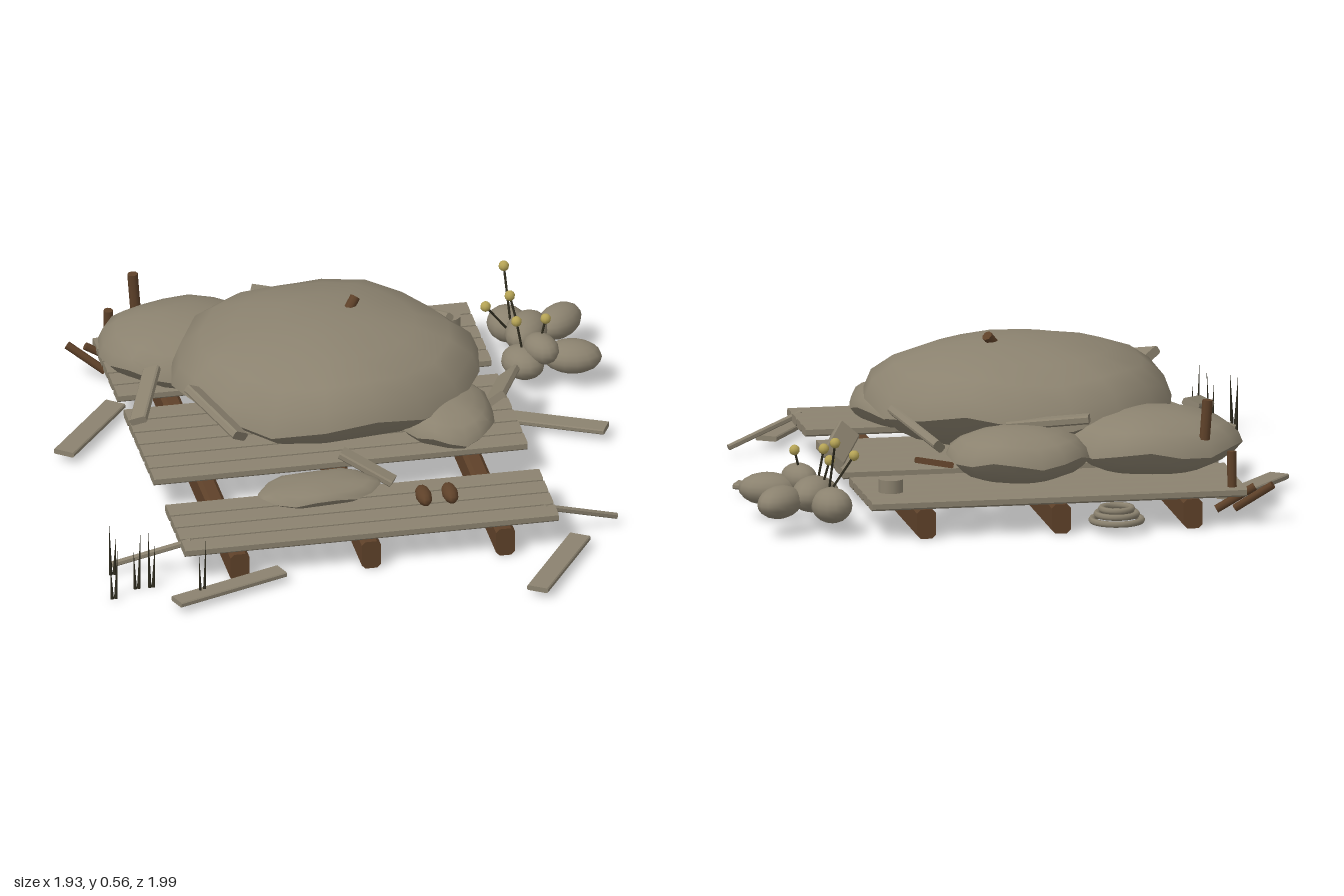
import * as THREE from 'three';
import { toCreasedNormals } from 'three/addons/utils/BufferGeometryUtils.js';

const material = (name, color) => {
  const m = new THREE.MeshStandardMaterial({ color });
  m.name = name;
  return m;
};

export function createModel() {
  const group = new THREE.Group();
  const grey = material('weatheredGrey', 0x8b826f);
  const brown = material('darkWood', 0x5e4129);
  const yellow = material('flowerYellow', 0xb5a355);
  const dark = material('grassDark', 0x2e2b1e);

  const add = (name, geo, mat, x = 0, y = 0, z = 0) => {
    const mesh = new THREE.Mesh(geo, mat);
    mesh.name = name;
    mesh.position.set(x, y, z);
    group.add(mesh);
    return mesh;
  };
  const V = (p) => new THREE.Vector3(...p);

  // Beam with chamfered long edges, running along z
  const beamGeo = (w, h, len, c) => {
    const x = w / 2, y = h / 2;
    const s = new THREE.Shape([
      [-x + c, -y], [x - c, -y], [x, -y + c], [x, y - c],
      [x - c, y], [-x + c, y], [-x, y - c], [-x, -y + c],
    ].map(([a, b]) => new THREE.Vector2(a, b)));
    return new THREE.ExtrudeGeometry(s, { depth: len, bevelEnabled: false }).translate(0, 0, -len / 2);
  };
  // Beam between two points, rolled about its own length
  const beam = (name, a, b, w, h, mat = grey, roll = 0) => {
    const p = V(a), q = V(b);
    const mesh = add(name, beamGeo(w, h, p.distanceTo(q), Math.min(w, h) * 0.2), mat);
    mesh.position.copy(p).add(q).multiplyScalar(0.5);
    mesh.lookAt(q);
    mesh.rotateZ(roll);
  };
  // Round stick between two points
  const stick = (name, a, b, r, mat, tip = r) => {
    const p = V(a), q = V(b);
    const mesh = add(name, new THREE.CylinderGeometry(tip, r, p.distanceTo(q), 8), mat);
    mesh.position.copy(p).add(q).multiplyScalar(0.5);
    mesh.quaternion.setFromUnitVectors(new THREE.Vector3(0, 1, 0), q.sub(p).normalize());
  };

  // Platform: three joists and a deck with missing slats
  for (const x of [-0.51, -0.06, 0.4]) beam('joist', [x, 0.05, -0.91], [x, 0.05, 0.655], 0.065, 0.1, brown);
  for (let i = 0; i < 18; i++) {
    if ([5, 12, 13].includes(i)) continue;
    const z = -0.87 + i * 0.0867;
    beam('deckSlat', [-0.695, 0.115, z], [0.585, 0.115, z], 0.074, 0.03);
  }

  // Sagging mounds: flattened spheres with a wavy rim and a smaller underside
  const mound = (name, x, z, rx, rz, yRim, up, down, wave, phase, turn = 0) => {
    const geo = new THREE.SphereGeometry(1, 18, 10);
    const pos = geo.attributes.position;
    for (let i = 0; i < pos.count; i++) {
      const px = pos.getX(i), py = pos.getY(i), pz = pos.getZ(i);
      const r = Math.hypot(px, pz);
      const a = Math.atan2(pz, px);
      const rim = wave * Math.sin(5 * a + phase) * r ** 4;
      const k = py < -0.01 ? 0.94 : 1 + 0.015 * Math.sin(3 * a + phase);
      pos.setXYZ(i, px * rx * k, py * (py > 0 ? up : down) + rim, pz * rz * k);
    }
    geo.computeVertexNormals();
    add(name, toCreasedNormals(geo, 0.75), grey, x, yRim, z).rotation.y = turn;
  };
  mound('mainMound', -0.05, -0.195, 0.525, 0.485, 0.32, 0.21, 0.16, 0.025, 0.6);
  mound('backLeftMound', -0.43, -0.6, 0.31, 0.265, 0.235, 0.12, 0.1, 0.015, 2);
  mound('backMound', 0.045, -0.7, 0.245, 0.21, 0.23, 0.1, 0.09, 0.012, 1);
  mound('frontRightMound', 0.31, 0.09, 0.165, 0.22, 0.25, 0.08, 0.07, 0.012, 4);
  mound('frontMound', -0.185, 0.385, 0.215, 0.112, 0.175, 0.035, 0.04, 0.008, 0, 0.08);

  // Broken slats leaning on the mounds
  beam('leaningSlat', [-0.19, 0.35, -0.725], [0.075, 0.32, -0.64], 0.05, 0.03);
  beam('leaningSlat', [0.31, 0.26, -0.66], [0.42, 0.335, -0.41], 0.05, 0.03, grey, 0.7);
  beam('leaningSlat', [0.61, 0.16, -0.32], [0.51, 0.2, -0.07], 0.085, 0.025, grey, 0.7);
  beam('leaningSlat', [-0.61, 0.3, -0.33], [-0.71, 0.25, -0.07], 0.06, 0.025, grey, 0.4);
  beam('leaningSlat', [-0.545, 0.4, 0.02], [-0.43, 0.34, 0.27], 0.065, 0.03, grey, -0.5);
  beam('leaningSlat', [-0.08, 0.23, 0.25], [0.08, 0.15, 0.34], 0.055, 0.025);
  beam('brownBoard', [0.33, 0.21, -0.68], [0.28, 0.15, -0.4], 0.13, 0.02, brown, 0.15);

  // Slats scattered on the ground
  beam('groundSlat', [-0.92, 0.035, -0.29], [-0.68, 0.035, -0.6], 0.075, 0.018);
  beam('groundSlat', [-0.76, 0.03, 0.815], [-0.37, 0.03, 0.67], 0.065, 0.018);
  beam('groundSlat', [0.445, 0.03, 0.97], [0.66, 0.03, 0.63], 0.075, 0.018);
  beam('groundSlat', [0.59, 0.03, -0.26], [0.9, 0.035, -0.1], 0.07, 0.018);
  // Thin rails drooping off the front corners
  beam('fallenRail', [-0.92, 0.03, 0.51], [-0.66, 0.125, 0.575], 0.018, 0.018);
  beam('fallenRail', [0.81, 0.03, 0.51], [0.55, 0.125, 0.575], 0.018, 0.018);

  // Brown sticks and pegs
  stick('topPeg', [0.025, 0.49, -0.215], [0.07, 0.545, -0.25], 0.018, brown);
  stick('backPeg', [-0.57, 0.28, -0.8], [-0.58, 0.415, -0.8], 0.018, brown);
  stick('hangingStick', [-0.65, 0.25, -0.865], [-0.65, 0.1, -0.875], 0.016, brown);
  stick('looseStick', [-0.79, 0.13, -0.87], [-0.67, 0.045, -0.82], 0.014, brown);
  stick('looseStick', [-0.73, 0.125, -0.86], [-0.6, 0.05, -0.85], 0.014, brown);

  // Seed cones and a short stump on the deck
  for (const x of [0.155, 0.245]) {
    add('seedCone', new THREE.SphereGeometry(1, 10, 8), brown, x, 0.162, 0.48).scale.set(0.027, 0.027, 0.06);
  }
  add('stump', new THREE.CylinderGeometry(0.042, 0.042, 0.045, 12), grey, 0.49, 0.152, -0.74);

  // Coil of stacked rings behind the platform
  [[0.085, 0.04], [0.068, 0.06], [0.052, 0.078]].forEach(([r, y]) => {
    add('coilRing', new THREE.TorusGeometry(r, 0.011, 6, 24).rotateX(Math.PI / 2), grey, -0.25, y, -0.905);
  });

  // Pile of stones: position, radii, turn
  [
    [0.7, 0.1, -0.78, 0.068, 0.06, 0.08, 0.2],
    [0.745, 0.12, -0.68, 0.07, 0.06, 0.105, -0.5],
    [0.87, 0.11, -0.745, 0.065, 0.055, 0.1, -0.75],
    [0.7, 0.09, -0.52, 0.07, 0.055, 0.085, 0.3],
    [0.76, 0.14, -0.51, 0.055, 0.05, 0.075, 0.4],
    [0.865, 0.105, -0.5, 0.1, 0.055, 0.075, -0.25],
  ].forEach(([x, y, z, a, b, c, turn]) => {
    const stone = add('stone', new THREE.SphereGeometry(1, 14, 10), grey, x, y, z);
    stone.scale.set(a, b, c);
    stone.rotation.y = turn;
  });

  // Yellow buds on thin stems
  [
    [0.69, 0.315, -0.79, 0.7, -0.72],
    [0.695, 0.24, -0.715, 0.72, -0.68],
    [0.6, 0.24, -0.655, 0.69, -0.68],
    [0.68, 0.24, -0.53, 0.7, -0.52],
    [0.78, 0.24, -0.53, 0.75, -0.52],
  ].forEach(([x, y, z, bx, bz]) => {
    stick('stem', [bx, 0.12, bz], [x, y, z], 0.004, dark);
    add('bud', new THREE.SphereGeometry(0.018, 10, 8), yellow, x, y, z);
  });

  // Tufts of grass at the front corner
  [[-0.95, 0.695], [-0.92, 0.525], [-0.86, 0.64], [-0.81, 0.64], [-0.66, 0.76]].forEach(([x, z], i) => {
    for (let k = 0; k < 2; k++) {
      const lean = (k ? 1 : -1) * 0.015;
      stick('grassBlade', [x + lean * 0.4, 0, z], [x + lean, 0.13 + ((i * 3 + k * 2) % 5) * 0.022, z - lean], 0.006, dark, 0.0005);
    }
  });

  return group;
}
